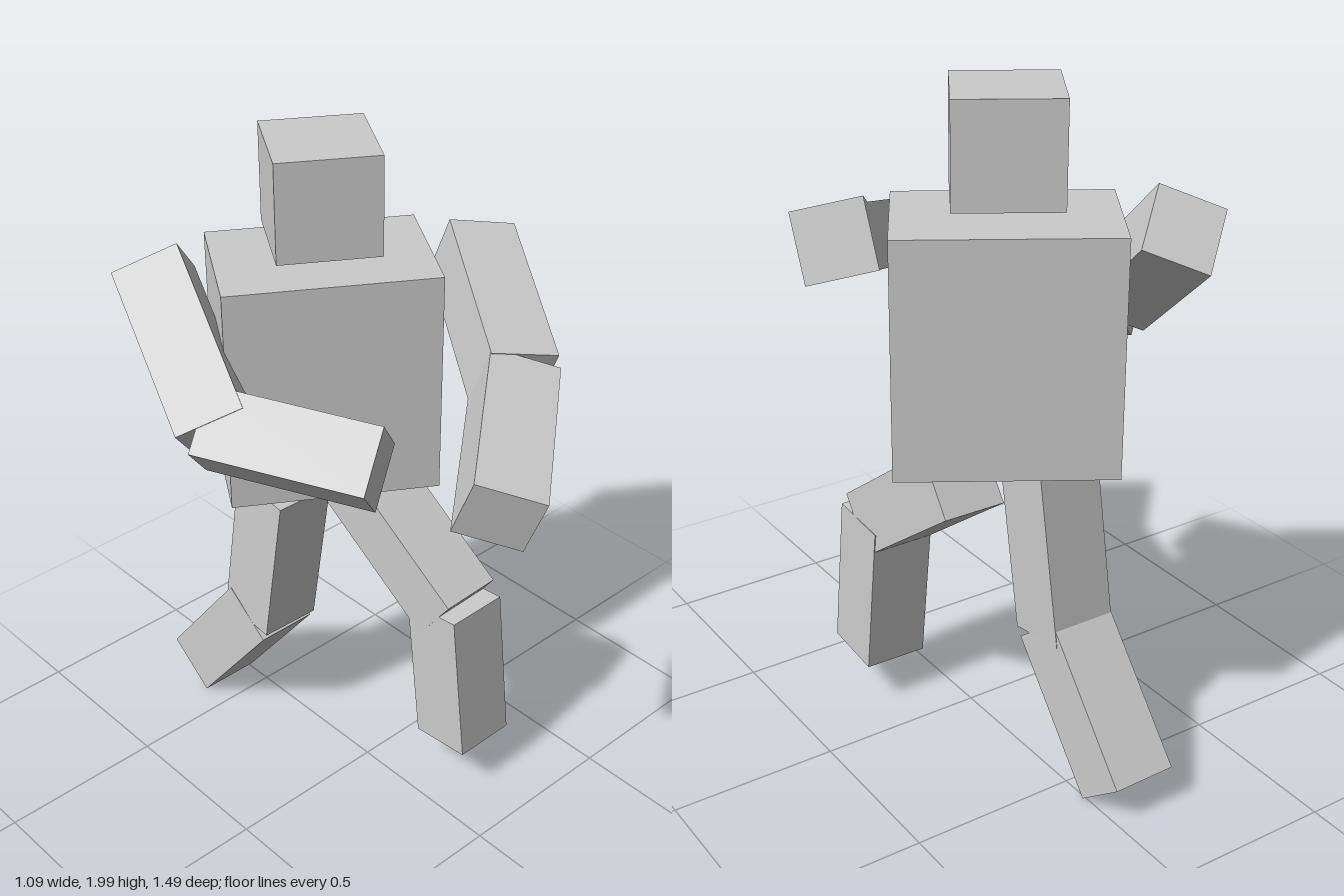
import * as THREE from 'three';

const THICK = 0.195;

export function createModel() {
  const model = new THREE.Group();
  const material = new THREE.MeshStandardMaterial({ color: 0xcccccc, flatShading: true });

  const addBox = (parent, name, w, h, d) => {
    const mesh = new THREE.Mesh(new THREE.BoxGeometry(w, h, d), material);
    mesh.name = name;
    parent.add(mesh);
    return mesh;
  };

  // Torso and head share one turned upright axis
  const body = new THREE.Group();
  body.name = 'body';
  body.position.set(0.05, 0, -0.24);
  body.rotation.y = -0.557;
  model.add(body);
  addBox(body, 'torso', 0.606, 0.675, 0.4).position.y = 1.3225;
  addBox(body, 'head', 0.292, 0.29, 0.292).position.y = 1.855;

  // Square bar between two end centres; hinge is the direction of the joint axis
  const addLimb = (name, from, to, hinge) => {
    const a = new THREE.Vector3(...from);
    const b = new THREE.Vector3(...to);
    const up = a.clone().sub(b);
    const limb = addBox(model, name, THICK, up.length(), THICK);
    up.normalize();
    const side = new THREE.Vector3(...hinge);
    side.addScaledVector(up, -side.dot(up)).normalize();
    const front = side.clone().cross(up);
    limb.quaternion.setFromRotationMatrix(new THREE.Matrix4().makeBasis(side, up, front));
    limb.position.copy(a).add(b).multiplyScalar(0.5);
  };

  // Legs in mid stride, left forward and right back
  const legHinge = [1, 0, 0];
  addLimb('leftUpperLeg', [0.163, 0.91, -0.21], [0.18, 0.612, 0.197], legHinge);
  addLimb('leftLowerLeg', [0.18, 0.635, 0.185], [0.186, 0.155, 0.235], legHinge);
  addLimb('rightUpperLeg', [-0.065, 0.932, -0.295], [-0.08, 0.432, -0.365], legHinge);
  addLimb('rightLowerLeg', [-0.08, 0.452, -0.362], [-0.088, 0.067, -0.667], legHinge);

  // Left arm swung across the front
  const leftHinge = [0, 0.923, 0.385];
  addLimb('leftUpperArm', [0.46, 1.612, -0.062], [0.22, 1.445, 0.338], leftHinge);
  addLimb('leftForearm', [0.215, 1.44, 0.345], [-0.145, 1.317, 0.64], leftHinge);

  // Right arm bent at the side
  const rightHinge = [0.115, -0.139, -0.079];
  addLimb('rightUpperArm', [-0.312, 1.631, -0.527], [-0.412, 1.326, -0.145], rightHinge);
  addLimb('rightForearm', [-0.424, 1.328, -0.173], [-0.184, 1.288, 0.247], rightHinge);

  return model;
}
